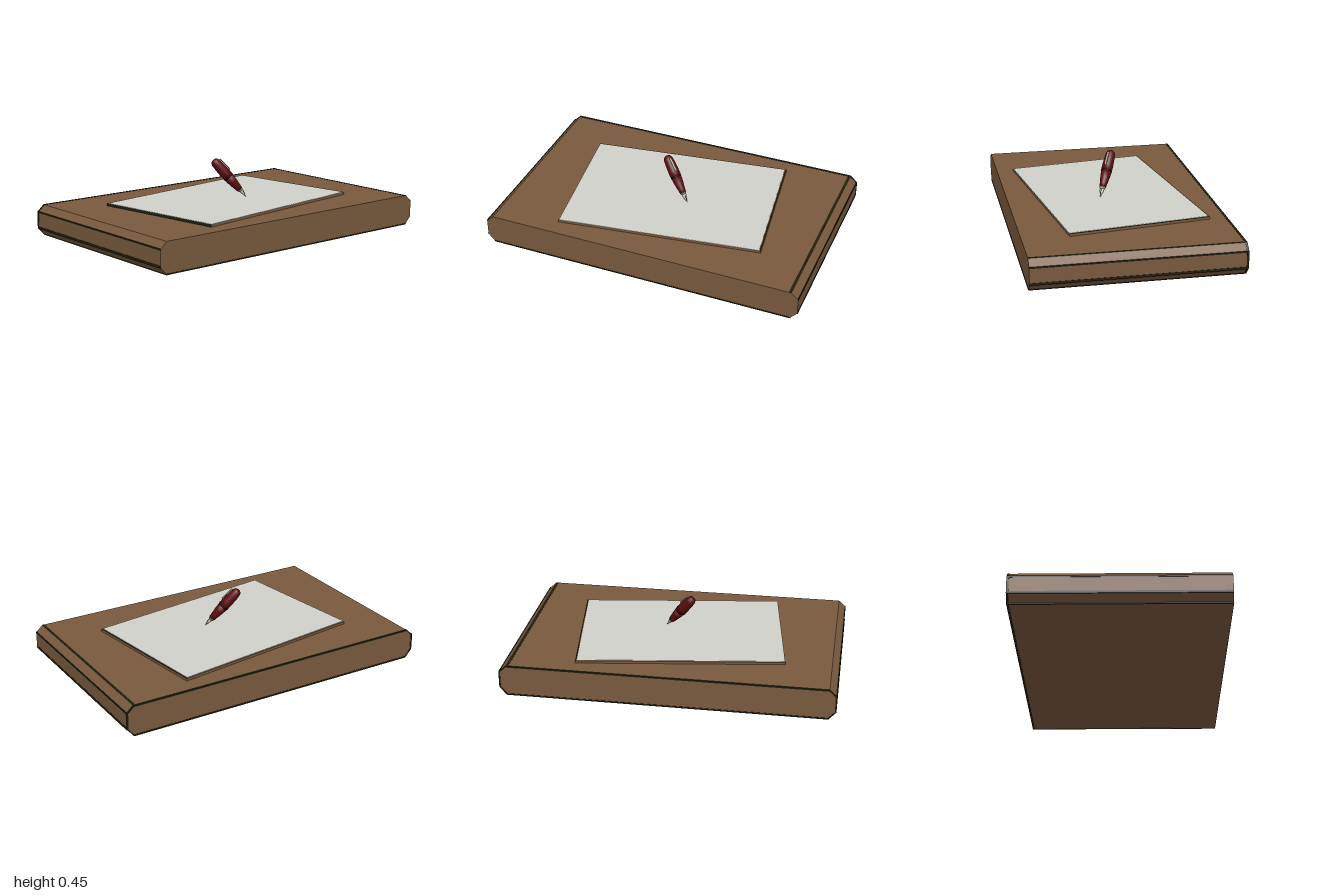
import * as THREE from 'three';

const mat = (name, color) => {
  const m = new THREE.MeshStandardMaterial({ color });
  m.name = name;
  return m;
};

export function createModel() {
  const wood = mat('brown wood', 0x78593d);
  const edge = mat('dark edge', 0x1f1f10);
  const white = mat('paper white', 0xd0d1cb);
  const red = mat('dark red', 0x5a0c0e);
  const black = mat('pen black', 0x1c0a0a);
  const silver = mat('silver', 0xb4b2aa);

  const model = new THREE.Group();
  const add = (parent, name, geometry, material, x = 0, y = 0, z = 0) => {
    const mesh = new THREE.Mesh(geometry, material);
    mesh.name = name;
    mesh.position.set(x, y, z);
    parent.add(mesh);
    return mesh;
  };
  const box = (w, h, d) => new THREE.BoxGeometry(w, h, d);

  // Board: chamfered profile swept from back to front
  const profile = (s = 0) => [
    [-0.955, 0.002 + s], [0.955, 0.002 + s], [0.998 - s, 0.05], [0.998 - s, 0.15],
    [0.955, 0.19 - s], [-0.955, 0.19 - s], [-0.998 + s, 0.15], [-0.998 + s, 0.05],
  ].map(([x, y]) => new THREE.Vector2(x, y));
  const DEPTH = 1.242;
  const board = new THREE.ExtrudeGeometry(new THREE.Shape(profile()), { depth: DEPTH, bevelEnabled: false });
  add(model, 'board', board, wood, 0, 0, -DEPTH / 2);

  // Dark outline around the back face
  const rim = new THREE.Shape(profile(-0.002));
  rim.holes.push(new THREE.Path(profile(0.007)));
  add(model, 'backRim', new THREE.ExtrudeGeometry(rim, { depth: 0.013, bevelEnabled: false }),
    edge, 0, 0, -DEPTH / 2 - 0.003);

  // Dark lines along the chamfers and the foot of the board
  for (const side of [-1, 1]) {
    add(model, 'upperSideLine', box(0.005, 0.009, DEPTH), edge, side * 0.9975, 0.15, 0);
    add(model, 'lowerSideLine', box(0.006, 0.014, DEPTH), edge, side * 0.997, 0.053, 0);
    add(model, 'bottomSideLine', box(0.012, 0.008, DEPTH), edge, side * 0.953, 0.005, 0);
  }
  add(model, 'topSideLine', box(0.014, 0.004, DEPTH), edge, 0.947, 0.189, 0);
  add(model, 'bottomFrontLine', box(1.91, 0.008, 0.004), edge, 0, 0.006, DEPTH / 2);

  // Turned pad with a white sheet on top
  const pad = new THREE.Group();
  pad.name = 'pad';
  pad.rotation.y = 0.138;
  model.add(pad);
  add(pad, 'padBase', box(1.247, 0.016, 0.868), wood, 0, 0.197, 0);
  add(pad, 'sheet', box(1.236, 0.003, 0.858), white, -0.005, 0.2055, 0.004);
  add(pad, 'padRightLine', box(0.006, 0.002, 0.868), edge, 0.6195, 0.205, 0);
  add(pad, 'padLeftLine', box(0.002, 0.016, 0.868), edge, -0.6235, 0.197, 0);

  // Pen: nib tip at the origin, body along local y, leaning back over the sheet
  const pen = new THREE.Group();
  pen.name = 'pen';
  const tip = new THREE.Vector3(0.1, 0.207, 0.057);
  const axis = new THREE.Vector3(-0.079, 0.444, -0.047).sub(tip).normalize();
  pen.position.copy(tip);
  pen.quaternion.setFromUnitVectors(new THREE.Vector3(0, 1, 0), axis);
  // Spin the pen so the clip side (local +z) looks up and to the front
  const clipSide = new THREE.Vector3(0.6, 0.6, 0.5).applyQuaternion(pen.quaternion.clone().invert());
  pen.rotateY(Math.atan2(clipSide.x, clipSide.z));
  model.add(pen);

  const lathe = (points) => new THREE.LatheGeometry(points.map(([r, y]) => new THREE.Vector2(r, y)), 24);
  const nib = lathe([[0, 0], [0.004, 0.012], [0.011, 0.032], [0.015, 0.046], [0.013, 0.062]]);
  nib.scale(1, 1, 0.75);
  add(pen, 'nib', nib, silver);
  add(pen, 'nibSlit', box(0.002, 0.03, 0.003), black, 0, 0.032, 0.0085).rotation.x = 0.24;
  add(pen, 'nibCollar', lathe([[0, 0.054], [0.016, 0.054], [0.019, 0.066], [0, 0.066]]), silver);
  add(pen, 'barrel', lathe([[0, 0.066], [0.02, 0.066], [0.023, 0.09], [0.029, 0.13], [0.033, 0.172], [0, 0.172]]), red);
  add(pen, 'seam', lathe([[0.033, 0.17], [0.0345, 0.172], [0.0345, 0.177], [0.033, 0.179]]), black);
  add(pen, 'cap', lathe([[0, 0.177], [0.034, 0.177], [0.034, 0.21], [0.032, 0.26], [0.029, 0.292],
    [0.024, 0.306], [0.014, 0.314], [0, 0.317]]), red);

  // Clip on the cap
  add(pen, 'clip', box(0.012, 0.085, 0.005), silver, 0, 0.25, 0.037).rotation.x = -0.05;
  add(pen, 'clipMount', box(0.012, 0.012, 0.012), silver, 0, 0.287, 0.031);
  add(pen, 'clipBall', new THREE.SphereGeometry(0.007, 12, 8), silver, 0, 0.21, 0.037);

  return model;
}
